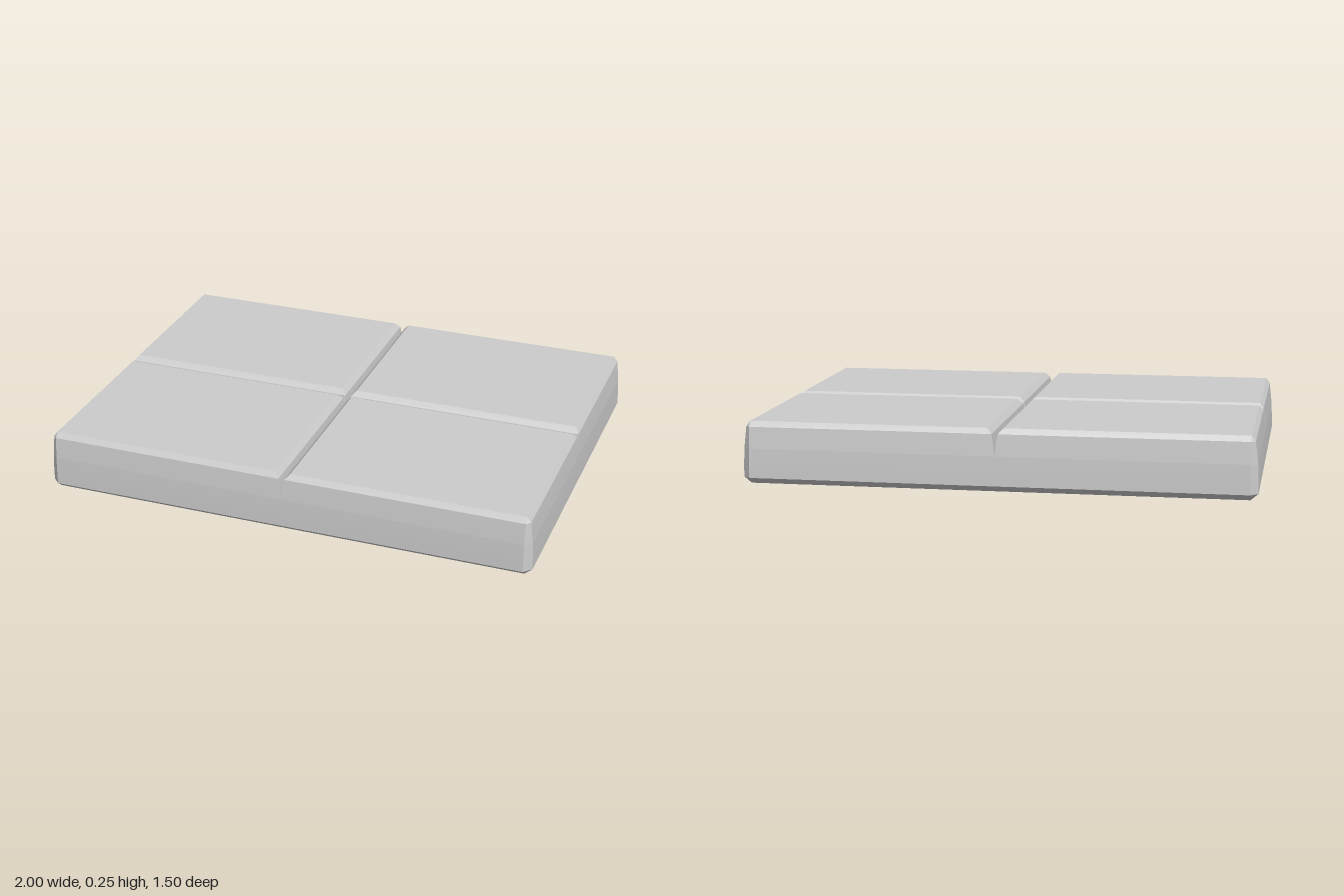
import * as THREE from 'three';
import { toCreasedNormals } from 'three/addons/utils/BufferGeometryUtils.js';

const HX = 1, HZ = 0.75;          // half width and half depth
const CORNER = 0.03;              // reach of the bevel at the outer corners
const SPLIT = 0.14;               // height of the groove floor

// Skin a stack of matching rings, with an optional cap at either end
function loft(rings, capBottom, capTop) {
  const pos = [];
  const tri = (...pts) => pts.forEach(p => pos.push(...p));
  const n = rings[0].length;
  for (let r = 0; r < rings.length - 1; r++) {
    const lo = rings[r], hi = rings[r + 1];
    for (let i = 0; i < n; i++) {
      const j = (i + 1) % n;
      tri(lo[i], lo[j], hi[j]);
      tri(lo[i], hi[j], hi[i]);
    }
  }
  const first = rings[0], last = rings[rings.length - 1];
  for (let i = 1; i < n - 1; i++) {
    if (capTop) tri(last[0], last[i], last[i + 1]);
    if (capBottom) tri(first[0], first[i + 1], first[i]);
  }
  const g = new THREE.BufferGeometry();
  g.setAttribute('position', new THREE.Float32BufferAttribute(pos, 3));
  return toCreasedNormals(g, 0.4);
}

// Rectangle with cut corners, inset from the full outline
function bodyRing([y, inset]) {
  const x = HX - inset, z = HZ - inset, cx = HX - CORNER, cz = HZ - CORNER;
  return [[-cx, z], [cx, z], [x, cz], [x, -cz], [cx, -z], [-cx, -z], [-x, -cz], [-x, cz]]
    .map(([px, pz]) => [px, y, pz]);
}

// One quadrant: only its outer corner is cut
function tileRing([y, outer, inner], sx, sz) {
  const x = HX - outer, z = HZ - outer;
  const ring = [[inner, z], [HX - CORNER, z], [x, HZ - CORNER], [x, inner], [inner, inner]]
    .map(([px, pz]) => [px * sx, y, pz * sz]);
  return sx * sz < 0 ? ring.reverse() : ring;
}

export function createModel() {
  const group = new THREE.Group();
  group.name = 'groovedSlab';
  const material = new THREE.MeshStandardMaterial({ color: 0xcccccc });
  const add = (name, geometry) => {
    const mesh = new THREE.Mesh(geometry, material);
    mesh.name = name;
    group.add(mesh);
  };

  // Lower body with a bevelled foot: [height, inset]
  const bodyProfile = [[0, CORNER], [0.025, 0], [0.08, 0.001], [SPLIT, 0.004]];
  add('slabBody', loft(bodyProfile.map(bodyRing), true, false));

  // Four raised tiles parted by V grooves: [height, outer inset, groove inset]
  const tileProfile = [[SPLIT, 0.004, 0], [0.185, 0.009, 0.005], [0.225, 0.014, 0.012], [0.246, CORNER, 0.032]];
  for (const [sx, left] of [[1, 'Left'], [-1, 'Right']]) {
    for (const [sz, front] of [[1, 'front'], [-1, 'back']]) {
      add(`${front}${left}Tile`, loft(tileProfile.map(p => tileRing(p, sx, sz)), false, true));
    }
  }
  return group;
}
